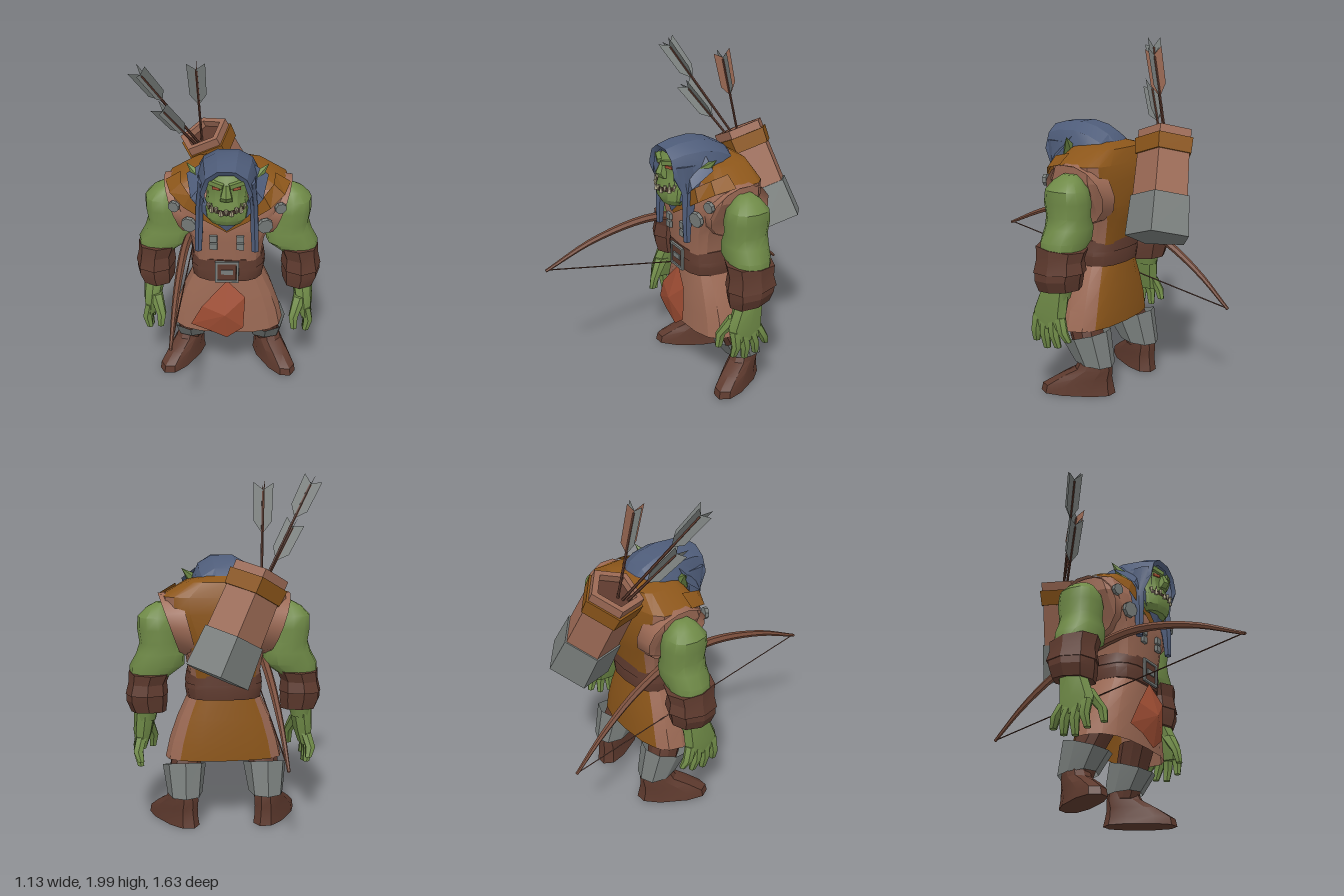
import * as THREE from 'three';
import { toCreasedNormals } from 'three/addons/utils/BufferGeometryUtils.js';

const mat = (name, color) => new THREE.MeshStandardMaterial({ name, color, side: THREE.DoubleSide });
const leather = mat('leather', 0x9c6a55), dark = mat('dark leather', 0x5e3a2e), skin = mat('green skin', 0x6f8a47),
  metal = mat('grey metal', 0x787d7b), blue = mat('blue cloth', 0x4e5c79), ochre = mat('ochre cloth', 0x8c561a),
  red = mat('red cloth', 0xa04e34), wood = mat('bow wood', 0x7a4e3c), ivory = mat('ivory', 0xaaa284), gum = mat('dark mouth', 0x3a2a22);

const V = (x, y, z) => new THREE.Vector3(x, y, z);
const UP = V(0, 1, 0);

export function createModel() {
  const root = new THREE.Group();
  root.name = 'archer';

  function add(name, geo, material, parent = root, crease = 0.5) {
    const m = new THREE.Mesh(toCreasedNormals(geo, crease), material);
    m.name = name;
    parent.add(m);
    return m;
  }

  // Surface across rows of points; pick(row, column) chooses the material of each face
  function surface(name, rows, material, { pick, closed, caps, crease, parent } = {}) {
    const bins = new Map();
    const face = (m, ...pts) => {
      if (!bins.has(m)) bins.set(m, []);
      pts.forEach(p => bins.get(m).push(p.x, p.y, p.z));
    };
    const n = rows[0].length, last = rows.length - 1;
    for (let i = 0; i < last; i++)
      for (let j = 0; j < (closed ? n : n - 1); j++) {
        const k = (j + 1) % n, m = pick ? pick(i, j) : material;
        face(m, rows[i][j], rows[i][k], rows[i + 1][k]);
        face(m, rows[i][j], rows[i + 1][k], rows[i + 1][j]);
      }
    if (caps) for (const r of [0, last]) {
      const c = rows[r].reduce((s, p) => s.add(p), V(0, 0, 0)).divideScalar(n);
      for (let j = 0; j < n; j++) {
        const a = rows[r][j], b = rows[r][(j + 1) % n];
        r ? face(material, c, a, b) : face(material, c, b, a);
      }
    }
    const geo = new THREE.BufferGeometry(), data = [], mats = [];
    for (const [m, list] of bins) {
      geo.addGroup(data.length / 3, list.length / 3, mats.length);
      mats.push(m);
      for (const v of list) data.push(v);
    }
    geo.setAttribute('position', new THREE.Float32BufferAttribute(data, 3));
    return add(name, geo, mats.length > 1 ? mats : mats[0], parent, crease);
  }

  // Stacked rounded rings, bottom to top: [x, y, z, radiusX, radiusZ, front lift]; small p is boxier
  function loft(name, rings, material, { n = 10, p = 0.85, s = 1, ...rest } = {}) {
    const f = v => Math.sign(v) * Math.abs(v) ** p;
    const rows = rings.map(([x, y, z, rx, rz, lift = 0]) => Array.from({ length: n }, (_, j) => {
      const a = j / n * Math.PI * 2, c = f(Math.cos(a));
      return V(x * s + rx * f(Math.sin(a)), y + lift * c, z + rz * c);
    }));
    return surface(name, rows, material, { closed: true, caps: true, ...rest });
  }

  // Group whose local y axis runs from a to b
  function along(name, a, b) {
    const g = new THREE.Group();
    g.name = name;
    g.position.copy(a);
    g.quaternion.setFromUnitVectors(UP, b.clone().sub(a).normalize());
    root.add(g);
    return g;
  }
  function spike(name, a, b, r, material, sides = 4) {
    const h = a.distanceTo(b);
    return add(name, new THREE.ConeGeometry(r, h, sides).translate(0, h / 2, 0), material, along(name + 'Group', a, b), 0.3);
  }
  function box(name, w, h, d, x, y, z, material) {
    const m = add(name, new THREE.BoxGeometry(w, h, d), material);
    m.position.set(x, y, z);
    return m;
  }
  // Half outlines from the middle to the left, mirrored into a full row
  const mirrored = half => [...half.slice(1).reverse().map(([x, y, z]) => V(-x, y, z)), ...half.map(q => V(...q))];

  // Tunic and skirt, with ochre back panels and shoulders
  const isBack = j => Math.cos((j + 0.5) / 16 * Math.PI * 2) < -0.7;
  loft('tunic', [[0, .84, -.11, .2, .175], [0, 1, -.12, .225, .2], [0, 1.08, -.125, .265, .215], [0, 1.23, -.135, .35, .205],
    [0, 1.32, -.15, .355, .18], [0, 1.4, -.16, .22, .14], [0, 1.43, -.16, .1, .08]], leather,
    { n: 16, p: .55, crease: .4, pick: (i, j) => i >= 4 || isBack(j) ? ochre : leather });
  loft('skirt', [[0, .365, -.12, .34, .18, -.012], [0, .48, -.12, .315, .18], [0, .61, -.115, .27, .175], [0, .75, -.11, .205, .165]], leather,
    { n: 16, p: .75, caps: false, crease: .4, pick: (i, j) => isBack(j) ? ochre : leather });

  // Belt and buckle
  loft('belt', [[0, .73, -.11, .215, .18], [0, .79, -.11, .225, .185], [0, .83, -.11, .215, .18]], dark, { n: 16, p: .7 });
  loft('upperBelt', [[0, .815, -.11, .225, .188], [0, .88, -.11, .215, .184]], dark, { n: 16, p: .7 });
  for (const s of [-1, 1]) {
    box('buckleSide', .014, .14, .014, s * .063, .805, .083, metal);
    box('buckleBar', .14, .014, .014, 0, .805 + s * .063, .083, metal);
  }
  box('bucklePlate', .11, .11, .01, 0, .805, .078, dark);
  box('bucklePin', .07, .03, .014, 0, .805, .083, metal);

  // Red loincloth folded around a raised middle
  const cloth = [V(0, .74, .075), V(-.15, .57, .1), V(-.22, .43, .085), V(-.12, .4, .1), V(0, .345, .1), V(.1, .42, .1), V(.11, .64, .1), V(0, .74, .075)];
  surface('loincloth', [cloth, cloth.map(() => V(-.01, .53, .14))], red, { crease: .1 });

  // Neckline band in a V, with the blue cowl tucked inside it
  surface('neckBand', [mirrored([[0, 1.085, .105], [.12, 1.155, .105], [.25, 1.235, .088], [.33, 1.295, .025], [.365, 1.325, -.09]]),
    mirrored([[0, 1.14, .11], [.11, 1.225, .105], [.21, 1.31, .085], [.265, 1.355, .015], [.275, 1.38, -.09]])], ochre, { crease: .2 });
  surface('cowl', [mirrored([[0, 1.1, .118], [.12, 1.2, .122], [.205, 1.3, .1], [.235, 1.4, -.02]]),
    mirrored([[0, 1.18, .14], [.1, 1.26, .13], [.15, 1.37, .09], [.155, 1.46, -.02]])], blue, { crease: .3 });

  // Hood
  const arch = ([z, w, top, low]) => [[-1, low], [-1.02, (low + top - .13) / 2], [-1, top - .12], [-.8, top - .045], [-.35, top], [.35, top],
    [.8, top - .045], [1, top - .12], [1.02, (low + top - .13) / 2], [1, low]].map(([x, y]) => V(x * w, y, z));
  surface('hood', [[.165, .122, 1.475, 1.3], [.182, .143, 1.503, 1.36], [.1, .158, 1.525, 1.2], [-.02, .175, 1.532, 1.25], [-.12, .178, 1.51, 1.3],
    [-.2, .162, 1.47, 1.33], [-.26, .13, 1.4, 1.34]].map(arch), blue, { crease: .4 });

  // Head
  loft('head', [[0, 1.165, .1, .09, .07], [0, 1.2, .09, .122, .1], [0, 1.26, .08, .13, .113], [0, 1.32, .07, .115, .105],
    [0, 1.37, .065, .12, .105], [0, 1.42, .07, .12, .108], [0, 1.49, .04, .1, .1]], skin, { n: 12, p: .9 });
  loft('nose', [[0, 1.325, .165, .04, .03], [0, 1.355, .18, .035, .038], [0, 1.42, .165, .016, .02]], skin, { n: 6 });
  const mouth = Array.from({ length: 9 }, (_, i) => {
    const a = (i - 4) * .24;
    return V(.125 * Math.sin(a), 1.245 + .02 * Math.abs(i - 4) / 4, .085 + .118 * Math.cos(a));
  });
  surface('mouth', [mouth, mouth.map(q => V(q.x, q.y + .026, q.z - .004))], gum);
  mouth.forEach((q, i) => {
    if (i % 2) spike('lowerTooth', V(q.x, q.y - .005, q.z), V(q.x, q.y + (i === 1 || i === 7 ? .06 : .035), q.z + .004), .014, ivory);
    else spike('upperTooth', V(q.x, q.y + .035, q.z), V(q.x, q.y - .004, q.z + .004), .013, ivory);
  });

  for (const s of [-1, 1]) {
    const side = s > 0 ? 'left' : 'right';
    const part = (name, rings, m, o) => loft(side + name, rings, m, { s, ...o });

    // Face details
    const brow = box(side + 'Brow', .085, .025, .04, s * .055, 1.425, .162, skin);
    brow.rotation.set(0, s * .35, s * .2);
    const eye = box(side + 'Eye', .045, .016, .008, s * .058, 1.397, .165, red);
    eye.rotation.y = s * .4;
    spike(side + 'Ear', V(s * .13, 1.355, .01), V(s * .237, 1.46, -.04), .055, skin, 5);

    // Hood tail, widening up into the hood side
    part('HoodTail', [[.165, .97, .11, .022, .02], [.16, 1.1, .105, .025, .03], [.155, 1.25, .08, .024, .055], [.145, 1.42, .085, .018, .08]], blue, { n: 6 });

    // Flared armhole edge of the tunic
    const armhole = (x, lean, ry, rz) => Array.from({ length: 14 }, (_, j) => {
      const a = s * j / 14 * Math.PI * 2;
      return V(s * (x + lean * Math.sin(a)), 1.155 + ry * Math.sin(a), -.15 + rz * Math.cos(a));
    });
    surface(side + 'ArmholeEdge', [armhole(.315, .062, .175, .19), armhole(.21, .05, .19, .2)], leather, { closed: true, crease: .6 });

    // Chest studs and clasps
    for (const [x, y, z, r] of [[.22, 1.12, .08, .048], [.307, 1.22, .05, .035]]) {
      const g = along(side + 'StudMount', V(s * x, y, z), V(s * (x + .3), y - .1, z + 1));
      add(side + 'Stud', new THREE.CylinderGeometry(r * .95, r, .022, 8), metal, g);
    }
    for (const y of [.985, 1.035]) box(side + 'Clasp', .044, .038, .02, s * .078, y, .09, metal);

    // Arm and two-tier bracer
    part('Arm', [[.45, .6, -.14, .055, .07], [.44, .84, -.15, .1, .11], [.385, .92, -.15, .157, .125], [.365, .99, -.155, .138, .125],
      [.372, 1.05, -.155, .112, .12], [.378, 1.13, -.155, .118, .128], [.385, 1.2, -.155, .108, .118], [.375, 1.25, -.155, .07, .08], [.36, 1.28, -.155, .03, .04]],
      skin, { n: 12, crease: .7 });
    part('LowerBracer', [[.435, .645, -.145, .1, .125, -.015], [.445, .71, -.145, .118, .14, -.015], [.445, .77, -.15, .115, .145]], dark, { n: 8, crease: .3 });
    part('UpperBracer', [[.445, .75, -.15, .122, .155, -.01], [.44, .82, -.15, .11, .14], [.425, .885, -.15, .122, .15, .01]], dark, { n: 8, crease: .3 });

    // Hand
    part('Palm', [[.48, .43, -.1, .034, .1], [.47, .52, -.1, .055, .11], [.455, .65, -.13, .065, .085]], skin, { n: 8 });
    [[-.235, .37], [-.165, .325], [-.09, .31], [-.015, .34]].forEach(([z, y], i) => {
      const z0 = -.175 + i * .05;
      part('Finger' + (i + 1), [[.485, y, z, .02, .02], [.5, (y + .48) / 2, (z + z0) / 2 - .005, .03, .029], [.48, .5, z0, .032, .032]], skin, { n: 6, crease: .7 });
    });
    part('Thumb', [[.41, .385, .04, .02, .02], [.405, .46, .025, .03, .029], [.445, .57, -.05, .042, .045]], skin, { n: 6, crease: .7 });

    // Leg, shin guard and turned-out boot
    part('Leg', [[.24, .15, -.24, .07, .08], [.235, .3, -.19, .085, .09], [.2, .46, -.125, .1, .1]], dark);
    part('ShinGuard', [[.235, .18, -.24, .1, .115, .008], [.235, .335, -.18, .125, .137, -.042]], metal, { n: 8, caps: false, crease: .3 });
    const boot = loft(side + 'Boot', [[0, 0, .1, .085, .215], [0, .045, .1, .08, .205], [0, .1, .06, .078, .155], [0, .15, .01, .075, .108], [0, .21, 0, .07, .085]], dark, { n: 10, p: .8 });
    boot.position.set(s * .245, 0, -.25);
    boot.rotation.y = s * .52;
  }

  // Five-sided quiver slung across the back
  const quiver = along('quiver', V(.085, .925, -.56), V(-.17, 1.48, -.445));
  quiver.rotateY(Math.PI / 5);
  const q = { n: 5, p: 1, crease: .2, parent: quiver };
  loft('quiverCap', [[0, 0, 0, .188, .188], [0, .23, 0, .175, .175]], metal, q);
  loft('quiverBody', [[0, .2, 0, .165, .165], [0, .52, 0, .155, .155]], leather, q);
  loft('quiverBand', [[0, .475, 0, .168, .168], [0, .565, 0, .175, .175]], ochre, q);
  const rim = [[.16, .54], [.16, .615], [.12, .615], [.12, .57]].map(([x, y]) => new THREE.Vector2(x, y));
  add('quiverRim', new THREE.LatheGeometry(rim, 5), leather, quiver, .2);
  loft('quiverInside', [[0, .56, 0, .13, .13], [0, .575, 0, .13, .13]], dark, q);

  // Arrows with notched vanes
  const arrows = [[V(-.17, 1.38, -.44), V(-.51, 1.97, -.13), metal], [V(-.17, 1.38, -.45), V(-.195, 1.945, -.33), leather], [V(-.17, 1.36, -.42), V(-.4, 1.73, -.19), metal]];
  arrows.forEach(([a, b, sideVane], i) => {
    const L = a.distanceTo(b), g = along('arrow' + (i + 1), a, b);
    add('shaft', new THREE.CylinderGeometry(.008, .008, L - .05, 6).translate(0, (L - .05) / 2, 0), dark, g);
    const vane = new THREE.Shape([[0, L - .28], [.05, L - .21], [.055, L], [0, L - .04]].map(c => new THREE.Vector2(...c)));
    for (let k = 0; k < 4; k++)
      add('vane', new THREE.ShapeGeometry(vane), k % 2 ? sideVane : metal, g).rotation.y = k * Math.PI / 2;
  });

  // Tapered bow at the hip
  const curve = new THREE.CatmullRomCurve3([V(-.27, .765, .81), V(-.265, .895, .5), V(-.25, .965, .15), V(-.235, .935, -.12),
    V(-.245, .83, -.38), V(-.26, .66, -.62), V(-.27, .47, -.815)]);
  const bow = new THREE.TubeGeometry(curve, 24, .026, 6), pos = bow.attributes.position, v = V(0, 0, 0);
  for (let i = 0; i < pos.count; i++) {
    const u = Math.floor(i / 7) / 24, c = curve.getPointAt(u);
    v.fromBufferAttribute(pos, i).sub(c).multiplyScalar(.35 + .65 * Math.sin(Math.PI * u)).add(c);
    pos.setXYZ(i, v.x, v.y, v.z);
  }
  add('bow', bow, wood, root, .8);
  add('bowString', new THREE.TubeGeometry(new THREE.LineCurve3(V(-.27, .77, .8), V(-.27, .475, -.81)), 1, .004, 4), dark);

  return root;
}
